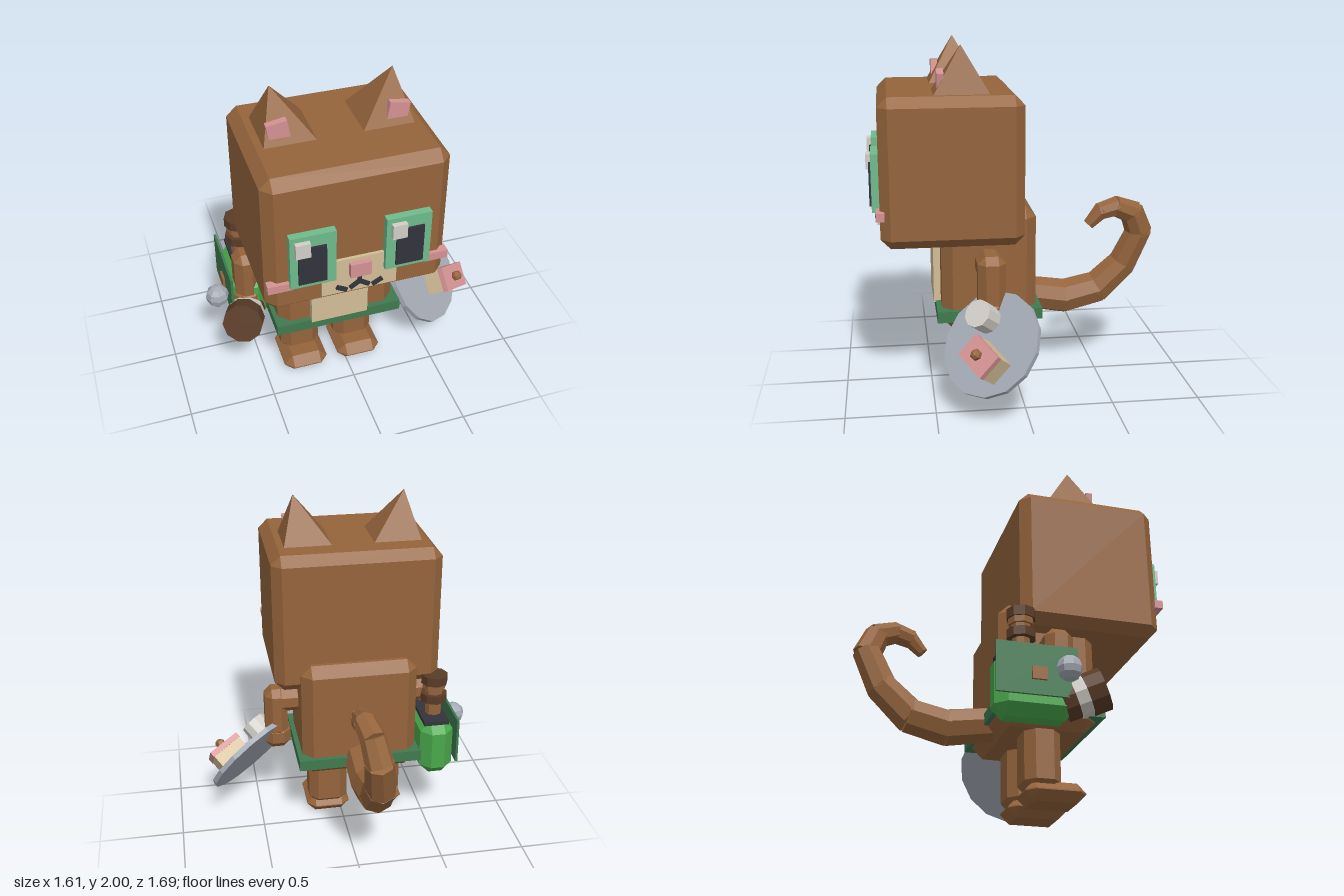
import * as THREE from 'three';
import { ConvexGeometry } from 'three/addons/geometries/ConvexGeometry.js';

const palette = {
  brownFur: 0x95643c, creamFur: 0xd2bd98, eyeGreen: 0x70bb8d, beltGreen: 0x3f7a50, bagGreen: 0x4aa84c,
  pink: 0xd49293, charcoal: 0x33333d, offWhite: 0xd2cec8, steelGray: 0xa4aab4, darkBrown: 0x5a3c28,
};

export function createModel() {
  const model = new THREE.Group();
  model.name = 'catChef';
  const mats = {};
  for (const [name, color] of Object.entries(palette)) {
    mats[name] = new THREE.MeshStandardMaterial({ color });
    mats[name].name = name;
  }
  const MID = -0.087; // the body's mirror plane
  const V = (x, y, z) => new THREE.Vector3(x, y, z);

  // Faceted mesh: every face gets its own normal
  function add(name, geo, mat, pos = [0, 0, 0], parent = model) {
    const flat = geo.index ? geo.toNonIndexed() : geo;
    flat.computeVertexNormals();
    const mesh = new THREE.Mesh(flat, mats[mat]);
    mesh.name = name;
    mesh.position.set(...pos);
    parent.add(mesh);
    return mesh;
  }

  // Box given by its limits on each axis; a bevel above 0 cuts all edges
  function block(name, mat, [x0, x1], [y0, y1], [z0, z1], bevel = 0, parent = model) {
    const a = (x1 - x0) / 2, b = (y1 - y0) / 2, c = (z1 - z0) / 2, d = bevel;
    let geo;
    if (d > 0) {
      const pts = [];
      for (const i of [-1, 1]) for (const j of [-1, 1]) for (const k of [-1, 1]) {
        pts.push(V(i * a, j * (b - d), k * (c - d)), V(i * (a - d), j * b, k * (c - d)), V(i * (a - d), j * (b - d), k * c));
      }
      geo = new ConvexGeometry(pts);
    } else geo = new THREE.BoxGeometry(2 * a, 2 * b, 2 * c);
    return add(name, geo, mat, [(x0 + x1) / 2, (y0 + y1) / 2, (z0 + z1) / 2], parent);
  }

  // Cylinder running from one point to another
  function rod(name, mat, from, to, r0, r1, sides = 8) {
    const dir = to.clone().sub(from);
    const mesh = add(name, new THREE.CylinderGeometry(r1, r0, dir.length(), sides), mat,
      from.clone().add(to).multiplyScalar(0.5).toArray());
    mesh.quaternion.setFromUnitVectors(V(0, 1, 0), dir.normalize());
    return mesh;
  }

  // Head, body, belly and belt
  block('head', 'brownFur', [-0.577, 0.402], [0.912, 1.74], [-0.017, 0.773], 0.055);
  block('body', 'brownFur', [-0.43, 0.257], [0.38, 1.09], [-0.1, 0.44], 0.06);
  block('belly', 'creamFur', [-0.254, 0.08], [0.5, 0.95], [0.42, 0.48]);
  block('belt', 'beltGreen', [-0.455, 0.285], [0.445, 0.51], [-0.127, 0.47]);

  // Muzzle, nose and mouth
  block('muzzle', 'creamFur', [-0.29, 0.118], [0.987, 1.204], [0.75, 0.79]);
  block('nose', 'pink', [-0.143, -0.031], [1.098, 1.183], [0.76, 0.82]);
  block('mouthMiddle', 'charcoal', [MID - 0.011, MID + 0.011], [1.035, 1.1], [0.78, 0.803]);

  // Paired parts: s = 1 is the model's left side
  for (const s of [-1, 1]) {
    const side = s > 0 ? 'left' : 'right';
    const span = (a, b) => s > 0 ? [MID + a, MID + b] : [MID - b, MID - a];

    // Sheared four-sided ear
    const ear = new THREE.ConeGeometry(Math.SQRT1_2, 1, 4).rotateY(Math.PI / 4).toNonIndexed();
    ear.scale(0.285, 0.27, 0.315);
    ear.applyMatrix4(new THREE.Matrix4().makeShear(0, 0, s * 0.24, 0, 0, 0));
    add(side + 'Ear', ear, 'brownFur', [MID + s * 0.29, 1.865, 0.318]);
    const inner = block(side + 'InnerEar', 'pink', span(0.26, 0.37), [1.76, 1.86], [0.412, 0.45]);
    inner.rotation.z = -s * 0.17;

    // Eye with pupil and glint
    const ex = MID + s * 0.253;
    block(side + 'Eye', 'eyeGreen', [ex - 0.121, ex + 0.121], [1.103, 1.427], [0.75, 0.815]);
    block(side + 'Pupil', 'charcoal', [ex - 0.074 + s * 0.006, ex + 0.074 + s * 0.006], [1.13, 1.358], [0.79, 0.827]);
    block(side + 'EyeGlint', 'offWhite', [ex - 0.097, ex - 0.019], [1.315, 1.4], [0.8, 0.843]);
    block(side + 'Cheek', 'pink', span(0.36, 0.488), [1.08, 1.127], [0.747, 0.795]);

    // Two strokes on each side of the mouth
    [[0.027, 1.03, -0.6], [0.097, 1.02, 0.5]].forEach(([dx, y, turn]) => {
      add(side + 'MouthStroke', new THREE.BoxGeometry(0.062, 0.023, 0.023), 'charcoal', [MID + s * dx, y, 0.791]).rotation.z = s * turn;
    });

    // Leg and foot
    block(side + 'Leg', 'brownFur', span(0.05, 0.286), [0.06, 0.46], [0.055, 0.255], 0.05);
    block(side + 'Foot', 'brownFur', span(0.035, 0.3), [0, 0.107], [0.055, 0.387], 0.05);

    // Arm and hand
    block(side + 'Shoulder', 'brownFur', span(0.3, 0.52), [0.715, 0.865], [0.097, 0.253], 0.045);
    block(side + 'Forearm', 'brownFur', span(0.406, 0.542), [0.55, 0.867], [0.097, 0.253], 0.042);
    block(side + 'Hand', 'brownFur', span(0.39, 0.55), [0.47, 0.63], [0.1, 0.26], 0.045);
  }

  // Curled tail: x, y, z, radius at each joint
  const tail = [
    [-0.09, 0.485, -0.06, 0.1], [-0.09, 0.445, -0.32, 0.105], [-0.095, 0.49, -0.52, 0.1],
    [-0.085, 0.64, -0.675, 0.09], [-0.055, 0.85, -0.765, 0.08], [-0.03, 0.975, -0.715, 0.072],
    [-0.005, 1.02, -0.61, 0.062], [0, 0.995, -0.52, 0.054], [0, 0.925, -0.455, 0.035],
  ];
  for (let i = 0; i < tail.length - 1; i++) {
    const a = V(...tail[i]), b = V(...tail[i + 1]);
    const overlap = b.clone().sub(a).setLength(0.014);
    rod('tailSegment', 'brownFur', a.sub(overlap), b.add(overlap), tail[i][3], tail[i + 1][3]);
  }

  // Shoulder bag with dark opening, flap and buckle
  block('bag', 'bagGreen', [-0.645, -0.445], [0.35, 0.7], [-0.178, 0.25], 0.06);
  block('bagOpening', 'charcoal', [-0.61, -0.46], [0.69, 0.715], [-0.15, 0.2]);
  block('bagFlap', 'beltGreen', [-0.664, -0.65], [0.45, 0.73], [-0.187, 0.25]);
  block('bagBuckle', 'brownFur', [-0.678, -0.66], [0.53, 0.6], [0, 0.08]);

  // Turned wooden handle standing in the bag: bottom, top, radius
  [[0.68, 0.8, 0.05, 'brownFur'], [0.8, 0.85, 0.08, 'darkBrown'], [0.85, 0.88, 0.055, 'brownFur'],
    [0.88, 0.915, 0.07, 'brownFur'], [0.915, 0.97, 0.08, 'darkBrown']].forEach(([y0, y1, r, mat]) => {
    rod('bagHandlePiece', mat, V(-0.545, y0, -0.02), V(-0.545, y1, -0.02), r, r, 8);
  });

  // Banded shaker in the right hand, with a steel knob
  const back = V(-0.56, 0.455, 0.2), front = V(-0.64, 0.53, 0.4);
  [[0, 0.3, 0.1, 'darkBrown'], [0.3, 0.58, 0.108, 'offWhite'], [0.58, 1, 0.115, 'darkBrown']].forEach(([t0, t1, r, mat]) => {
    rod('shakerBand', mat, back.clone().lerp(front, t0), back.clone().lerp(front, t1), r, r, 10);
  });
  add('steelKnob', new THREE.SphereGeometry(0.068, 8, 6), 'steelGray', [-0.733, 0.58, 0.178]);

  // Tilted serving plate in the left hand, built flat and then turned
  const plate = new THREE.Group();
  plate.name = 'servingPlate';
  add('plateDisk', new THREE.CylinderGeometry(0.3, 0.3, 0.03, 14), 'steelGray', [0, 0, 0], plate);
  add('plateCup', new THREE.CylinderGeometry(0.08, 0.08, 0.12, 10), 'offWhite', [-0.139, 0.07, 0], plate);
  const cake = new THREE.Group();
  cake.name = 'cake';
  cake.position.set(0.115, 0, 0);
  cake.rotation.y = 0.61;
  block('cakeBase', 'creamFur', [-0.1, 0.1], [0, 0.125], [-0.07, 0.07], 0, cake);
  block('cakeIcing', 'pink', [-0.104, 0.104], [0.125, 0.16], [-0.073, 0.073], 0, cake);
  add('cakeBerry', new THREE.SphereGeometry(0.032, 6, 5), 'brownFur', [0, 0.178, 0], cake);
  plate.add(cake);
  const u = V(1, -1, 0).normalize(), n = V(1, 1, 1).normalize();
  plate.quaternion.setFromRotationMatrix(new THREE.Matrix4().makeBasis(u, n, u.clone().cross(n)));
  plate.position.set(0.545, 0.412, 0.193);
  model.add(plate);

  return model;
}
